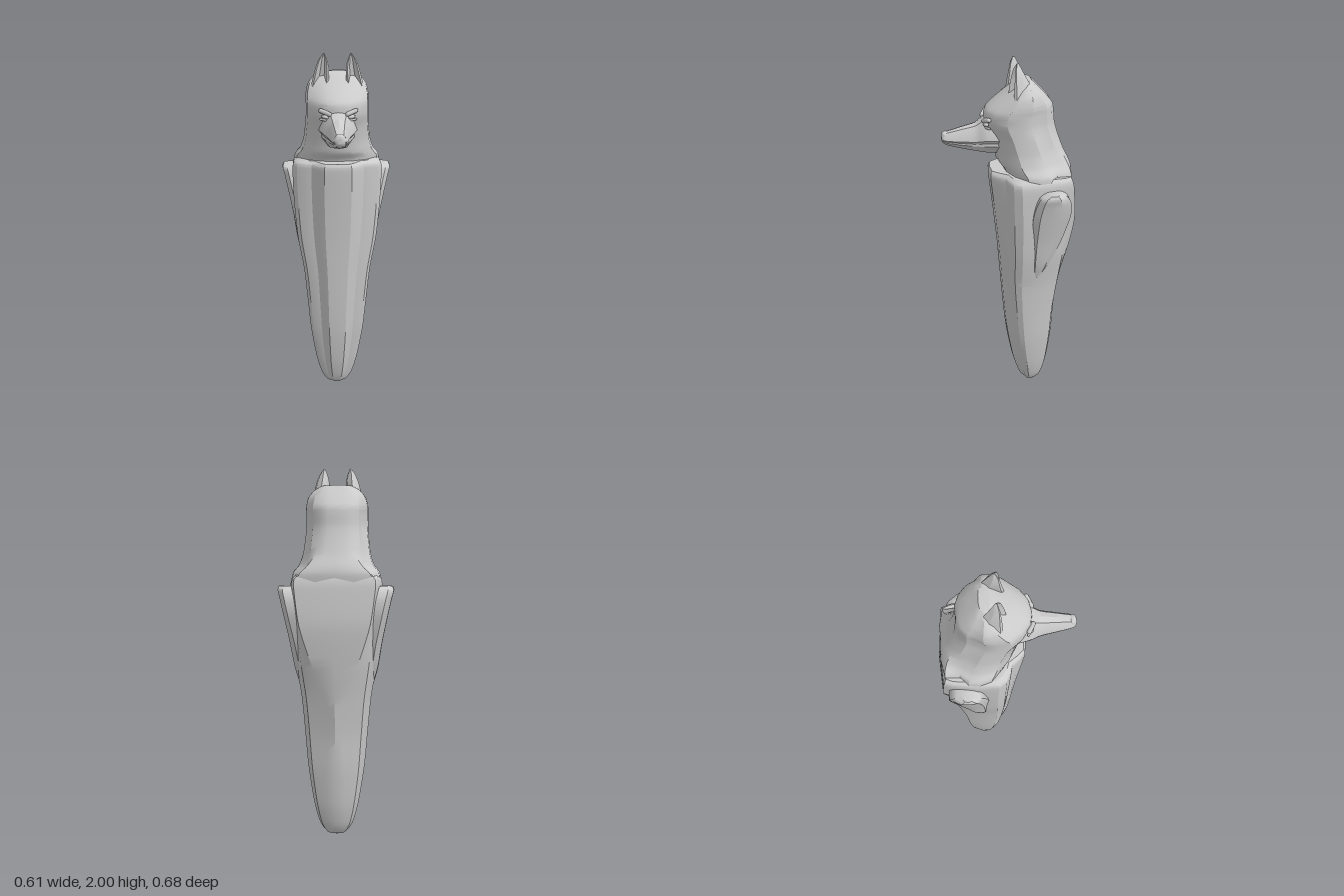
import * as THREE from 'three';
import { toCreasedNormals } from 'three/addons/utils/BufferGeometryUtils.js';

const material = new THREE.MeshStandardMaterial({ color: 0xcccccc });
const V = (x, y, z) => new THREE.Vector3(x, y, z);

// Closed symmetric ring from half a section that starts and ends on x = 0
function symmetric(half) {
  const other = half.slice(1, -1).reverse().map((p) => V(-p.x, p.y, p.z));
  return [...half, ...other];
}

// Smooth capped skin through rings of equal point count, turned to face outward
function loft(rings, steps, crease = 0.5) {
  const n = rings[0].length;
  const curves = rings[0].map((_, j) => new THREE.CatmullRomCurve3(rings.map((r) => r[j]), false, 'catmullrom', 0.4));
  const pts = [];
  for (let i = 0; i <= steps; i++) for (const c of curves) pts.push(c.getPoint(i / steps));
  const index = [];
  for (let i = 0; i < steps; i++) {
    for (let j = 0; j < n; j++) {
      const a = i * n + j, b = i * n + (j + 1) % n;
      index.push(a, b, b + n, a, b + n, a + n);
    }
  }
  for (const end of [0, steps]) {
    const centre = V(0, 0, 0);
    for (let j = 0; j < n; j++) centre.addScaledVector(pts[end * n + j], 1 / n);
    const c = pts.push(centre) - 1;
    for (let j = 0; j < n; j++) {
      const a = end * n + j, b = end * n + (j + 1) % n;
      index.push(...(end ? [a, b, c] : [b, a, c]));
    }
  }
  let volume = 0;
  for (let i = 0; i < index.length; i += 3) {
    volume += pts[index[i]].dot(V(0, 0, 0).crossVectors(pts[index[i + 1]], pts[index[i + 2]]));
  }
  if (volume < 0) index.reverse();
  const geo = new THREE.BufferGeometry().setFromPoints(pts);
  geo.setIndex(index);
  return toCreasedNormals(geo, crease);
}

export function createModel() {
  const model = new THREE.Group();
  const add = (name, geo, parent = model) => {
    const mesh = new THREE.Mesh(geo, material);
    mesh.name = name;
    parent.add(mesh);
    return mesh;
  };

  // Tapered body: y, half width, front z, front corner z, back z, back panel half width
  const body = [
    [0, 0.015, -0.115, -0.125, -0.145, 0.008],
    [0.02, 0.06, -0.085, -0.11, -0.175, 0.03],
    [0.08, 0.095, -0.055, -0.1, -0.205, 0.045],
    [0.2, 0.125, -0.02, -0.08, -0.235, 0.05],
    [0.4, 0.155, 0.015, -0.05, -0.26, 0.05],
    [0.6, 0.172, 0.035, -0.03, -0.275, 0.035],
    [0.8, 0.19, 0.05, -0.015, -0.302, 0.045],
    [1.0, 0.222, 0.065, -0.01, -0.325, 0.12],
    [1.2, 0.238, 0.085, -0.005, -0.34, 0.18],
    [1.38, 0.243, 0.105, 0, -0.325, 0.205],
    [1.43, 0.237, 0.108, 0, -0.315, 0.205],
    [1.45, 0.215, 0.1, -0.02, -0.305, 0.19],
  ].map(([y, w, zf, zc, zb, wb]) => {
    const d = zf - zc, depth = zc - zb;
    return symmetric([
      V(0, y, zf), V(0.3 * w, y, zf - 0.06 * d), V(0.42 * w, y, zf - 0.3 * d),
      V(0.58 * w, y, zc + 0.3 * d), V(0.72 * w, y, zc + 0.22 * d), V(0.9 * w, y, zc),
      V(w, y, zc - 0.12 * depth), V(w, y, zc - 0.45 * depth),
      V(Math.max(0.8 * w, wb + 0.015), y, zb + 0.17 * depth), V(wb, y, zb + 0.04 * depth), V(0, y, zb),
    ]);
  });
  add('body', loft(body, 55));

  // Head, neck and shoulders: y, half width, front z, back z, back lock half width
  const head = new THREE.Group();
  head.name = 'head';
  model.add(head);
  const skull = [
    [1.4, 0.237, 0.02, -0.31, 0.2],
    [1.46, 0.23, 0.035, -0.315, 0.18],
    [1.5, 0.2, 0.065, -0.305, 0.14],
    [1.56, 0.18, 0.078, -0.275, 0.1],
    [1.64, 0.17, 0.1, -0.245, 0.085],
    [1.7, 0.165, 0.128, -0.228, 0.085],
    [1.76, 0.165, 0.125, -0.222, 0.085],
    [1.8, 0.165, 0.085, -0.212, 0.085],
    [1.85, 0.152, 0.02, -0.17, 0.08],
    [1.89, 0.115, -0.03, -0.13, 0.07],
    [1.91, 0.07, -0.06, -0.11, 0.04],
  ].map(([y, w, zf, zb, wb]) => {
    const d = zf - zb;
    return symmetric([
      V(0, y, zf), V(0.35 * w, y, zf - 0.03 * d), V(0.66 * w, y, zf - 0.13 * d),
      V(0.94 * w, y, zf - 0.3 * d), V(w, y, zf - 0.48 * d), V(0.97 * w, y, zf - 0.62 * d),
      V(Math.max(0.8 * w, wb), y, zf - 0.74 * d), V(Math.max(0.72 * w, wb), y, zf - 0.86 * d),
      V(wb, y, zb + 0.05 * d), V(0.5 * wb, y, zb), V(0, y, zb + 0.01 * d),
    ]);
  });
  add('skullAndNeck', loft(skull, 40), head);

  // Muzzle: z, half width, top y, bottom y, with a mouth crease along each side
  const muzzle = [
    [0.04, 0.105, 1.74, 1.54], [0.12, 0.085, 1.73, 1.543], [0.17, 0.062, 1.695, 1.55],
    [0.24, 0.049, 1.675, 1.565], [0.31, 0.037, 1.655, 1.583],
    [0.335, 0.029, 1.648, 1.597], [0.343, 0.016, 1.638, 1.608],
  ].map(([z, w, top, bottom]) => {
    const h = top - bottom;
    return symmetric([
      V(0, top, z), V(0.5 * w, top - 0.06 * h, z), V(0.85 * w, top - 0.3 * h, z),
      V(w, bottom + 0.42 * h, z), V(0.85 * w, bottom + 0.32 * h, z), V(0.86 * w, bottom + 0.24 * h, z),
      V(0.55 * w, bottom + 0.03 * h, z), V(0, bottom, z),
    ]);
  });
  add('muzzle', loft(muzzle, 24), head);
  const nose = add('nose', new THREE.SphereGeometry(1, 12, 8), head);
  nose.scale.set(0.027, 0.018, 0.02);
  nose.position.set(0, 1.637, 0.323);

  for (const s of [1, -1]) {
    const side = s > 0 ? 'left' : 'right';

    // Ear with a hollow front: y, inner x, outer x, front z, back z
    const ear = [
      [1.82, 0.05, 0.143, 0.01, -0.12], [1.88, 0.044, 0.126, 0.004, -0.105],
      [1.93, 0.044, 0.112, -0.006, -0.078], [1.97, 0.053, 0.095, -0.015, -0.056],
      [2.0, 0.066, 0.073, -0.03, -0.04],
    ].map(([y, xi, xo, zf, zb]) => {
      const x = (t) => s * (xi + (xo - xi) * t), z = (t) => zf + (zb - zf) * t;
      return [V(x(0), y, z(0.1)), V(x(0.12), y, z(0)), V(x(0.3), y, z(0.4)), V(x(0.6), y, z(0.45)),
        V(x(0.88), y, z(0.15)), V(x(1), y, z(0.25)), V(x(0.85), y, z(0.7)), V(x(0.5), y, z(1)), V(x(0.12), y, z(0.65))];
    });
    add(side + 'Ear', loft(ear, 14), head);

    // Eye with a frowning brow and a lower lid
    const eye = add(side + 'Eye', new THREE.SphereGeometry(1, 10, 8), head);
    eye.scale.set(0.02, 0.01, 0.012);
    eye.position.set(s * 0.068, 1.702, 0.122);
    eye.rotation.set(0, s * 0.45, s * 0.2);
    for (const [name, y, z, tilt, r] of [['Brow', 1.724, 0.12, 0.3, 0.012], ['LowerLid', 1.685, 0.118, 0.12, 0.006]]) {
      const lid = add(side + name, new THREE.CapsuleGeometry(r, 0.05, 3, 8).rotateZ(Math.PI / 2), head);
      lid.position.set(s * 0.067, y, z);
      lid.rotation.set(0, s * 0.45, s * tilt);
    }

    // Teardrop shield on the flank: y, front z, back z, outer x
    const shield = [
      [0.82, -0.115, -0.135, 0.188], [0.95, -0.1, -0.2, 0.224], [1.1, -0.092, -0.255, 0.247],
      [1.25, -0.095, -0.29, 0.276], [1.33, -0.11, -0.288, 0.293], [1.375, -0.13, -0.265, 0.304],
      [1.395, -0.165, -0.23, 0.298],
    ].map(([y, zf, zb, x]) => {
      const z = (t) => zf + (zb - zf) * t;
      return [V(s * 0.17, y, z(0)), V(s * (x - 0.03), y, z(0)), V(s * (x - 0.004), y, z(0.16)), V(s * x, y, z(0.4)),
        V(s * (x - 0.004), y, z(0.7)), V(s * (x - 0.035), y, z(1)), V(s * 0.17, y, z(1))];
    });
    add(side + 'Shield', loft(shield, 28));
  }
  return model;
}
